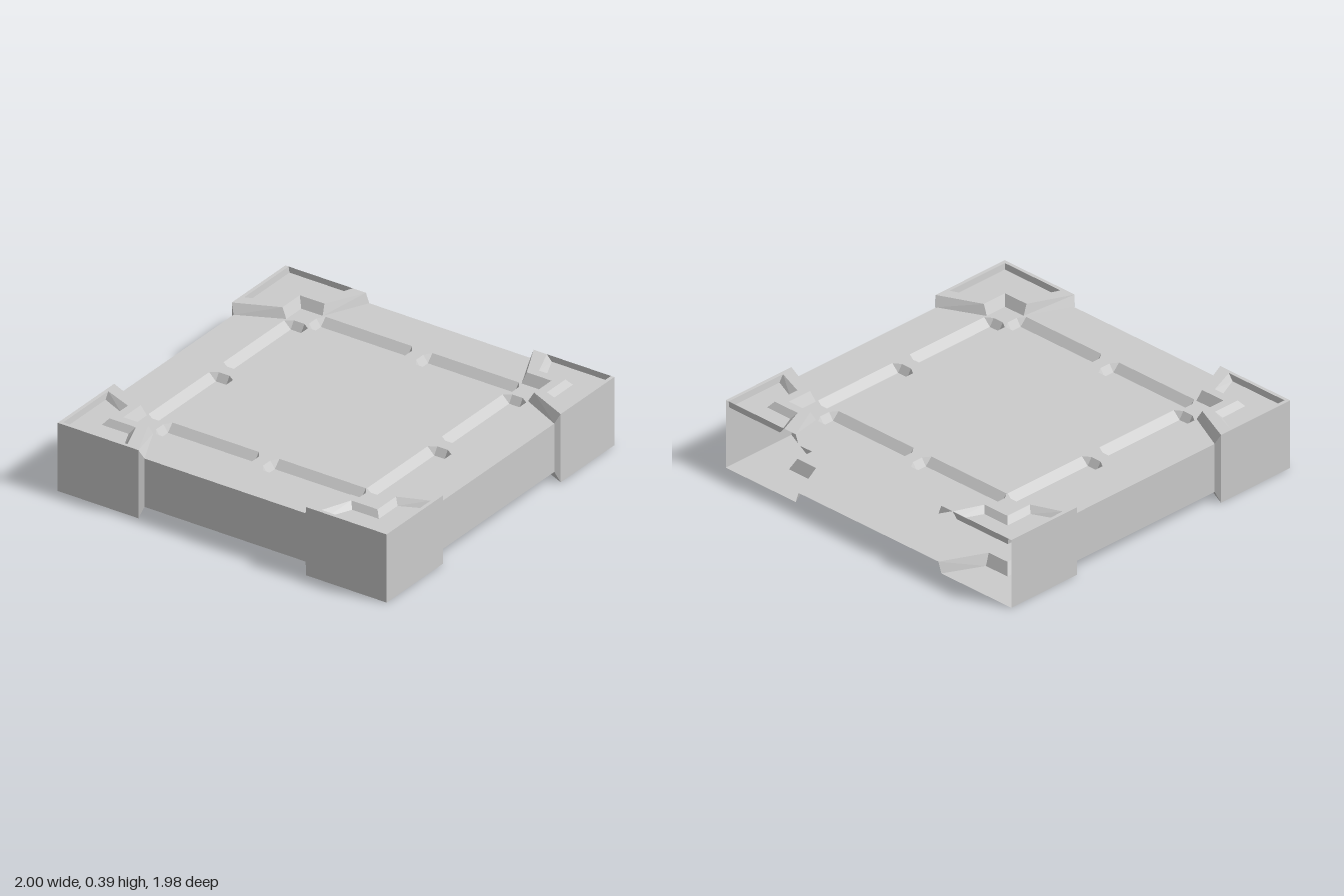
import * as THREE from 'three';

const WALL = 0.975, TOP = 0.335, BOTTOM = 0.06, HIGH = 0.388, Z_SHIFT = -0.0125;
const FLOOR = 0.355, GROOVE = 0.295;
const material = new THREE.MeshStandardMaterial({ color: 0xcccccc, flatShading: true, side: THREE.DoubleSide });

// Corner outlines [x, z] for the +x +z quadrant, each symmetric about the diagonal
const stepped = (edge, end, shoulder, inner) =>
  [[edge, end], [inner, shoulder], [inner, inner], [shoulder, inner], [end, edge]];
const BASE = stepped(WALL, 0.49, 0.605, 0.735);
const CREST = [...stepped(1, 0.51, 0.615, 0.765), [1, 1]];
const RIM = [...stepped(0.98, 0.59, 0.655, 0.815), [0.98, 0.98]];
const SUNK = [...stepped(WALL, 0.62, 0.68, 0.842), [WALL, WALL]];

const at = (loop, y) => loop.map(([x, z]) => [x, y, z]);

// Collects triangles and turns them into one mesh
class Surface {
  constructor() { this.data = []; }
  tri(a, b, c) { this.data.push(...a, ...b, ...c); }
  quad(a, b, c, d) { this.tri(a, b, c); this.tri(a, c, d); }
  // Band between two loops with matching points
  loft(a, b, closed = false) {
    const n = a.length;
    for (let i = 0; i < (closed ? n : n - 1); i++) {
      const j = (i + 1) % n;
      this.quad(a[i], a[j], b[j], b[i]);
    }
  }
  // Level polygon with holes, facing up (1) or down (-1)
  level(loop, y, up, holes = []) {
    const vec = (l) => l.map(([x, z]) => new THREE.Vector2(x, z));
    const points = [loop, ...holes].flat().map(([x, z]) => [x, y, z]);
    for (const [i, j, k] of THREE.ShapeUtils.triangulateShape(vec(loop), holes.map(vec))) {
      const [a, b, c] = [points[i], points[j], points[k]];
      const ny = (b[2] - a[2]) * (c[0] - a[0]) - (b[0] - a[0]) * (c[2] - a[2]);
      if (ny * up > 0) this.tri(a, b, c); else this.tri(a, c, b);
    }
  }
  // Mirrors into a quadrant, trimming the open back level with the body
  mesh(name, sx = 1, sz = 1) {
    const p = [];
    for (let i = 0; i < this.data.length; i += 9) {
      for (const k of sx * sz < 0 ? [0, 6, 3] : [0, 3, 6]) {
        const [x, y, z] = this.data.slice(i + k, i + k + 3);
        p.push(x * sx, y, Math.max(z * sz, -WALL) + Z_SHIFT);
      }
    }
    const geometry = new THREE.BufferGeometry();
    geometry.setAttribute('position', new THREE.Float32BufferAttribute(p, 3));
    geometry.computeVertexNormals();
    const mesh = new THREE.Mesh(geometry, material);
    mesh.name = name;
    return mesh;
  }
}

// Chamfered groove opening and floor; dir swaps the axis it runs along
function grooveLoops(alongX, sx, sz) {
  const mid = 0.664, w = 0.072, f = 0.032, e0 = 0.035, e1 = 0.615, c = 0.027;
  const place = ([u, v]) => (alongX ? [u * sx, (mid + v) * sz] : [(mid + v) * sx, u * sz]);
  const opening = [[e0 + c, -w], [e1 - c, -w], [e1, -f], [e1, f], [e1 - c, w], [e0 + c, w], [e0, f], [e0, -f]];
  const floor = opening.map(([u, v]) => [Math.min(Math.max(u, e0 + c), e1 - c), Math.sign(v) * f]);
  let loops = [opening.map(place), floor.map(place)];
  const cw = (alongX ? 1 : -1) * sx * sz > 0;
  if (cw) loops = loops.map((l) => l.reverse());
  return loops;
}

function cornerBlock(sx, sz) {
  const s = new Surface();
  const crest = CREST.slice(0, 5);
  // Raised stepped border with a sunken panel on top
  s.loft(at(BASE, TOP), at(crest, HIGH));
  s.loft(at(CREST, HIGH), at(RIM, HIGH), true);
  s.loft(at(RIM, HIGH), at(SUNK, FLOOR), true);
  s.level(SUNK, FLOOR, 1);
  // Plain stepped foot underneath
  s.loft(at(crest, 0), at(BASE, BOTTOM));
  s.level(CREST, 0, -1);
  // Sloped end on the side wall, then the outer wall
  s.quad([WALL, BOTTOM, 0.49], [WALL, TOP, 0.49], [1, HIGH, 0.51], [1, 0, 0.51]);
  s.quad([1, 0, 0.51], [1, HIGH, 0.51], [1, HIGH, 1], [1, 0, 1]);
  // The same on the front; the back is left open
  if (sz > 0) {
    s.quad([0.49, BOTTOM, WALL], [0.51, 0, 1], [0.51, HIGH, 1], [0.49, TOP, WALL]);
    s.quad([0.51, 0, 1], [1, 0, 1], [1, HIGH, 1], [0.51, HIGH, 1]);
  }
  return s.mesh('cornerBlock', sx, sz);
}

export function createModel() {
  const model = new THREE.Group();
  model.name = 'floorTile';

  // Plate outline with the four stepped corners cut out
  const outline = [];
  for (const [sx, sz] of [[1, 1], [-1, 1], [-1, -1], [1, -1]]) {
    const part = BASE.map(([x, z]) => [x * sx, z * sz]);
    outline.push(...(sx * sz > 0 ? part : part.reverse()));
  }

  const holes = [], grooves = new THREE.Group();
  grooves.name = 'grooves';
  for (const sx of [1, -1]) for (const sz of [1, -1]) {
    model.add(cornerBlock(sx, sz));
    for (const alongX of [true, false]) {
      const [opening, floor] = grooveLoops(alongX, sx, sz);
      holes.push(opening);
      const s = new Surface();
      s.loft(at(opening, TOP), at(floor, GROOVE), true);
      s.level([floor[0], floor[1], floor[4], floor[5]], GROOVE, 1);
      grooves.add(s.mesh('groove'));
    }
  }
  model.add(grooves);

  const top = new Surface();
  top.level(outline, TOP, 1, holes);
  model.add(top.mesh('topPlate'));

  const bottom = new Surface();
  bottom.level(outline, BOTTOM, -1);
  model.add(bottom.mesh('bottomPlate'));

  // Walls between the corner blocks
  const e = 0.49;
  for (const sx of [1, -1]) {
    const side = new Surface();
    side.quad([WALL, BOTTOM, e], [WALL, BOTTOM, -e], [WALL, TOP, -e], [WALL, TOP, e]);
    model.add(side.mesh('sideWall', sx, 1));
  }
  const front = new Surface();
  front.quad([-e, BOTTOM, WALL], [e, BOTTOM, WALL], [e, TOP, WALL], [-e, TOP, WALL]);
  model.add(front.mesh('frontWall'));

  return model;
}
